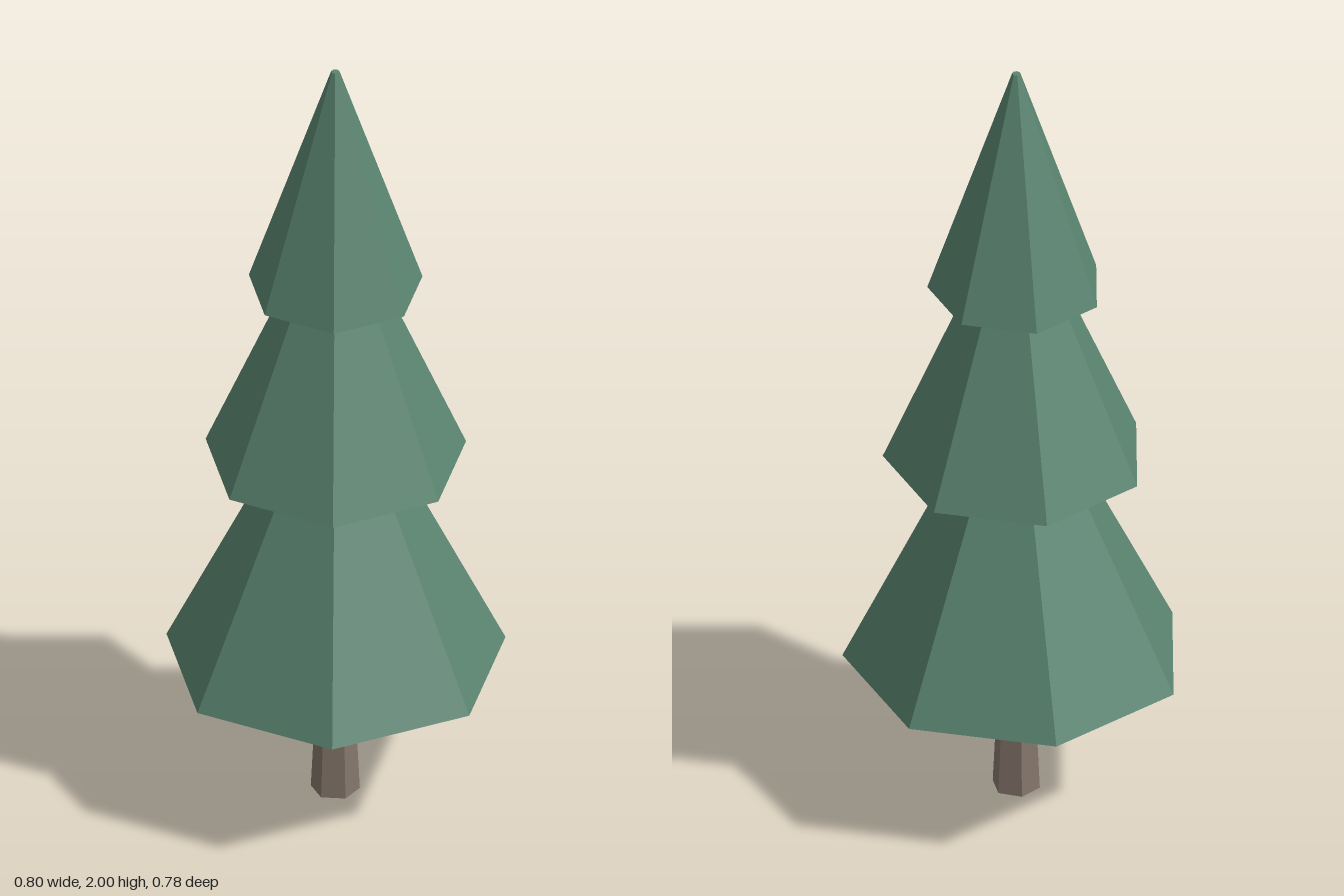
import * as THREE from 'three';

export function createModel() {
  const tree = new THREE.Group();
  tree.name = 'pineTree';

  const foliage = new THREE.MeshStandardMaterial({ color: 0x5b8571, flatShading: true });
  foliage.name = 'foliage green';
  const bark = new THREE.MeshStandardMaterial({ color: 0x85766b, flatShading: true });
  bark.name = 'bark brown';

  // Tapered faceted column standing between two heights
  function addFrustum(name, material, sides, y0, y1, r0, r1) {
    const geometry = new THREE.CylinderGeometry(r1, r0, y1 - y0, sides);
    const mesh = new THREE.Mesh(geometry, material);
    mesh.name = name;
    mesh.position.set(0, (y0 + y1) / 2, 0.02);
    mesh.rotation.y = Math.PI; // one corner points to the back
    tree.add(mesh);
  }

  // Six-sided trunk
  addFrustum('trunk', bark, 6, 0, 0.365, 0.058, 0.041);

  // Three seven-sided foliage tiers
  addFrustum('lowerFoliage', foliage, 7, 0.365, 0.925, 0.41, 0.141);
  addFrustum('middleFoliage', foliage, 7, 0.925, 1.4, 0.315, 0.114);
  addFrustum('upperFoliage', foliage, 7, 1.4, 2, 0.21, 0.01);

  return tree;
}
